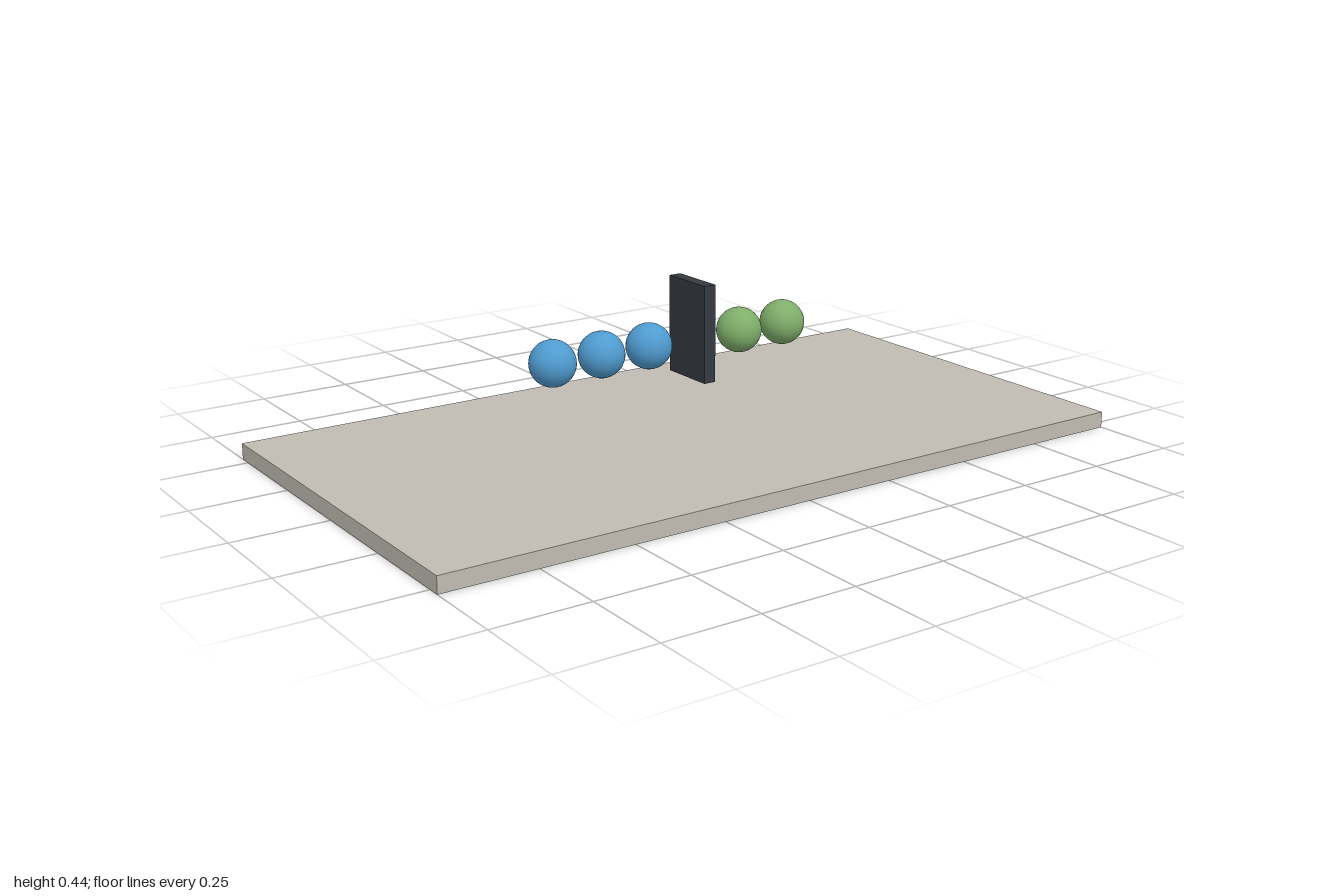
import * as THREE from 'three';

function material(name, color) {
  const m = new THREE.MeshStandardMaterial({ color });
  m.name = name;
  return m;
}

export function createModel() {
  const stone = material('warm grey', 0xc0bcb2);
  const slate = material('dark slate', 0x343a40);
  const blue = material('blue', 0x4f9bd0);
  const green = material('green', 0x7fae6a);
  const model = new THREE.Group();
  model.name = 'dividedBeads';

  function add(name, geometry, mat, x, y, z = 0) {
    const mesh = new THREE.Mesh(geometry, mat);
    mesh.name = name;
    mesh.position.set(x, y, z);
    model.add(mesh);
  }

  // Flat base slab
  add('base', new THREE.BoxGeometry(2, 0.043, 1.066), stone, 0, 0.0215);

  // Upright divider floating between the two groups of beads
  add('divider', new THREE.BoxGeometry(0.034, 0.257, 0.157), slate, 0.028, 0.307);

  // Row of equally spaced beads, blue on the right and green on the left
  const bead = new THREE.SphereGeometry(0.06, 32, 20);
  const spacing = 1 / 7;
  for (let i = 0; i < 3; i++) add(`blueBead${i + 1}`, bead, blue, -0.393 + i * spacing, 0.281);
  for (let i = 0; i < 2; i++) add(`greenBead${i + 1}`, bead, green, 0.178 + i * spacing, 0.281);

  return model;
}
